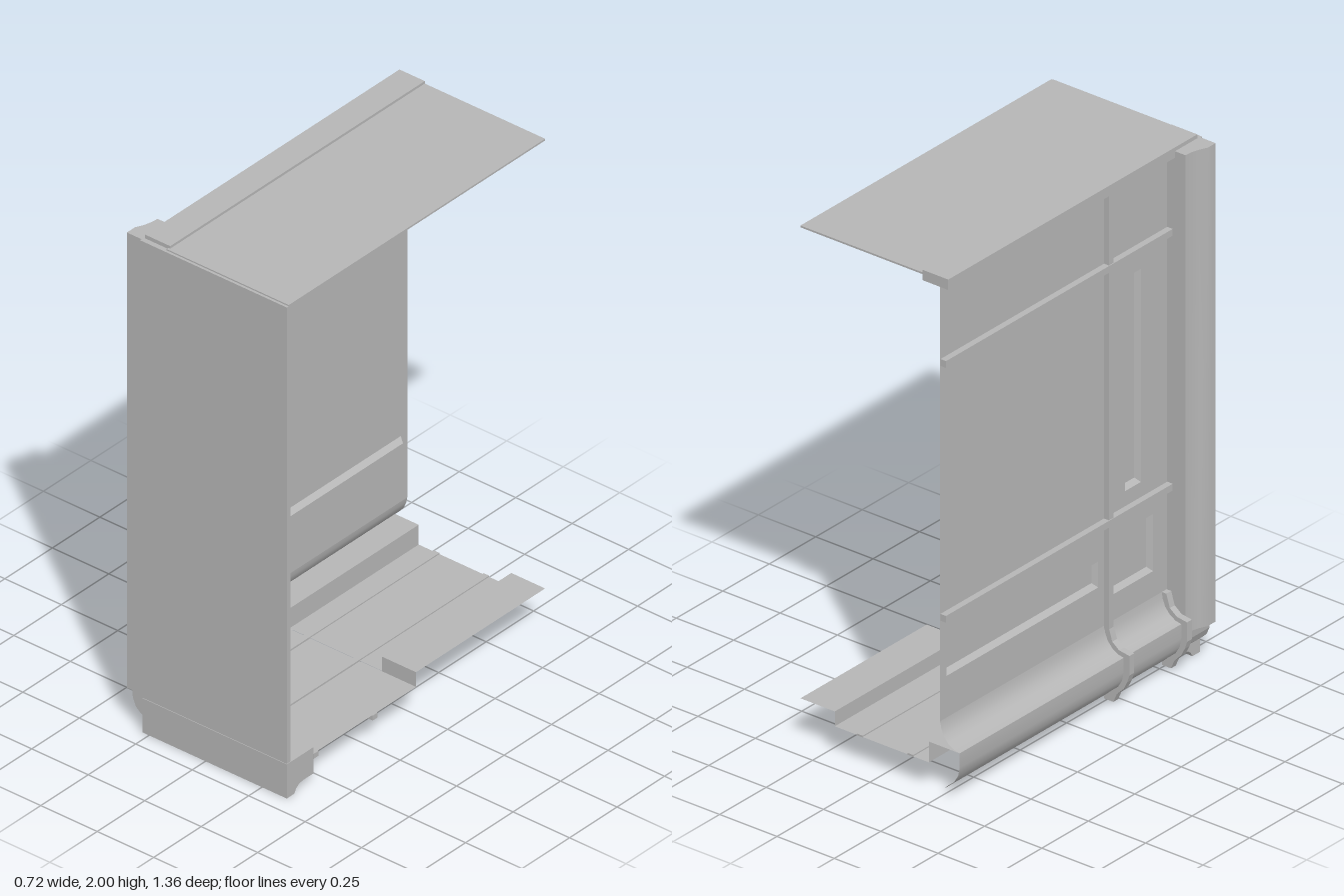
import * as THREE from 'three';
import { toCreasedNormals } from 'three/addons/utils/BufferGeometryUtils.js';

export function createModel() {
  const model = new THREE.Group();
  const grey = new THREE.MeshStandardMaterial({ color: 0xb6b6b6, side: THREE.DoubleSide });
  grey.name = 'plain grey';

  const add = (name, geometry) => {
    const mesh = new THREE.Mesh(geometry, grey);
    mesh.name = name;
    model.add(mesh);
    return mesh;
  };
  // Box given by its limits
  const box = (name, x0, x1, y0, y1, z0, z1) => {
    const g = new THREE.BoxGeometry(x1 - x0, y1 - y0, z1 - z0);
    g.translate((x0 + x1) / 2, (y0 + y1) / 2, (z0 + z1) / 2);
    return add(name, g);
  };
  // Surface made of four-cornered faces
  const faces = (quads) => {
    const p = [];
    for (const [a, b, c, d] of quads) p.push(...a, ...b, ...c, ...a, ...c, ...d);
    const g = new THREE.BufferGeometry();
    g.setAttribute('position', new THREE.Float32BufferAttribute(p, 3));
    g.computeVertexNormals();
    return toCreasedNormals(g, 0.6);
  };
  // Open sheet: an x,y profile swept along z
  const sheet = (name, pts, z0, z1) => add(name, faces(pts.slice(1).map((q, i) => {
    const p = pts[i];
    return [[...p, z0], [...p, z1], [...q, z1], [...q, z0]];
  })));
  // Solid: a closed outline swept by a depth
  const solid = (pts, depth) => new THREE.ExtrudeGeometry(
    new THREE.Shape(pts.map((p) => new THREE.Vector2(...p))), { depth, bevelEnabled: false });

  const wallX = -0.25, back = -0.68, postZ = 0.54;

  // Roof and front panels
  box('roofPanel', -0.18, 0.36, 1.983, 1.99, back, 0.67);
  box('roofRail', -0.285, -0.173, 1.96, 2, back, 0.66);
  box('frontPanel', -0.29, 0.36, 0.14, 1.985, 0.66, 0.68);

  // Side wall with three pressed panels: z0, z1, y0, y1
  const pressings = [[0.315, 0.4, 0.76, 1.58], [0.245, 0.465, 0.39, 0.61], [-0.645, 0.17, 0.45, 0.55]];
  const rect = (z0, z1, y0, y1) => [[z0, y0], [z1, y0], [z1, y1], [z0, y1]];
  const wall = new THREE.Shape(rect(back, postZ, 0.285, 1.975).map((p) => new THREE.Vector2(...p)));
  pressings.forEach((r, n) => {
    wall.holes.push(new THREE.Path(rect(...r).reverse().map((p) => new THREE.Vector2(...p))));
    const outer = rect(...r).map(([z, y]) => [wallX, y, z]);
    const inner = rect(r[0] + 0.012, r[1] - 0.012, r[2] + 0.015, r[3] - 0.015)
      .map(([z, y]) => [wallX + 0.02, y, z]);
    const quads = outer.map((p, i) => [p, outer[(i + 1) % 4], inner[(i + 1) % 4], inner[i]]);
    add('pressedPanel' + (n + 1), faces([...quads, inner]));
  });
  const wallGeometry = new THREE.ShapeGeometry(wall);
  wallGeometry.rotateY(-Math.PI / 2);
  wallGeometry.translate(wallX, 0, 0);
  add('sideWall', wallGeometry);

  // Outside ribs of the wall
  for (const y of [0.69, 1.67]) box('horizontalRib', -0.275, wallX - 0.001, y - 0.013, y + 0.013, back, postZ);
  box('verticalRib', -0.272, wallX - 0.001, 0.28, 1.97, 0.2, 0.226);

  // Corner post: an open shell with a hollow flank, standing upright
  const postPlan = [[wallX, 0.54], [-0.33, 0.54], [-0.333, 0.57], [-0.341, 0.6], [-0.355, 0.63],
    [-0.355, 0.672], [-0.285, 0.672]];
  add('cornerPost', faces(postPlan.slice(1).map(([x, z], i) => {
    const [px, pz] = postPlan[i];
    return [[px, 0.145, pz], [x, 0.145, z], [x, 1.985, z], [px, 1.985, pz]];
  })));
  add('postCap', solid([...postPlan, [wallX, 0.672]], 0.004).rotateX(Math.PI / 2).translate(0, 1.985, 0));
  add('postFoot', solid([[wallX, 0.145], [-0.333, 0.145], [-0.33, 0.115], [-0.317, 0.085],
    [-0.297, 0.067], [-0.28, 0.06], [wallX, 0.06]], 0.12).translate(0, 0, 0.55));

  // Front skirt with a coved underside, swept across x
  add('frontSkirt', solid([[-0.68, 0], [-0.64, 0], [-0.63, 0.018], [-0.615, 0.028], [-0.595, 0.032],
    [-0.54, 0.032], [-0.54, 0.138], [-0.68, 0.138]], 0.64).rotateY(Math.PI / 2).translate(-0.28, 0, 0));

  // Sill below the wall, flared outwards then tucked under
  const sill = [[wallX, 0.29], [-0.254, 0.265], [-0.265, 0.238], [-0.285, 0.215], [-0.31, 0.2],
    [-0.335, 0.195], [-0.335, 0.14], [-0.328, 0.105], [-0.31, 0.075], [-0.285, 0.055], [-0.265, 0.035]];
  sheet('sideSill', sill, back, postZ);

  // Clamps around the sill, and cross members under the floor
  const clampOutside = [[wallX, 0.035], [wallX, 0.01], [-0.29, 0.01], [-0.305, 0.045], [-0.335, 0.075],
    [-0.35, 0.105], [-0.36, 0.135], [-0.36, 0.21], [-0.315, 0.217], [-0.285, 0.24], [-0.27, 0.29]];
  for (const z of [0.215, 0.525]) {
    add('sillClamp', solid([...sill, ...clampOutside], 0.026).translate(0, 0, z - 0.013));
    box('crossMember', -0.26, 0.36, 0.09, 0.11, z - 0.013, z + 0.013);
  }

  // Floor: ledge by the wall, low pan, raised plate over the rear half
  sheet('rearFloor', [[-0.335, 0.195], [-0.2, 0.195], [-0.2, 0.115], [0.21, 0.115], [0.21, 0.172], [0.36, 0.172]],
    back, 0);
  sheet('frontFloor', [[-0.335, 0.195], [-0.2, 0.195], [-0.2, 0.113], [0.36, 0.113]], 0, postZ);
  add('floorStep', faces([[[0.21, 0.113, 0], [0.36, 0.113, 0], [0.36, 0.172, 0], [0.21, 0.172, 0]]]));
  for (const x of [-0.12, 0.1]) box('floorRib', x - 0.012, x + 0.012, 0.113, 0.12, back, postZ);

  return model;
}
